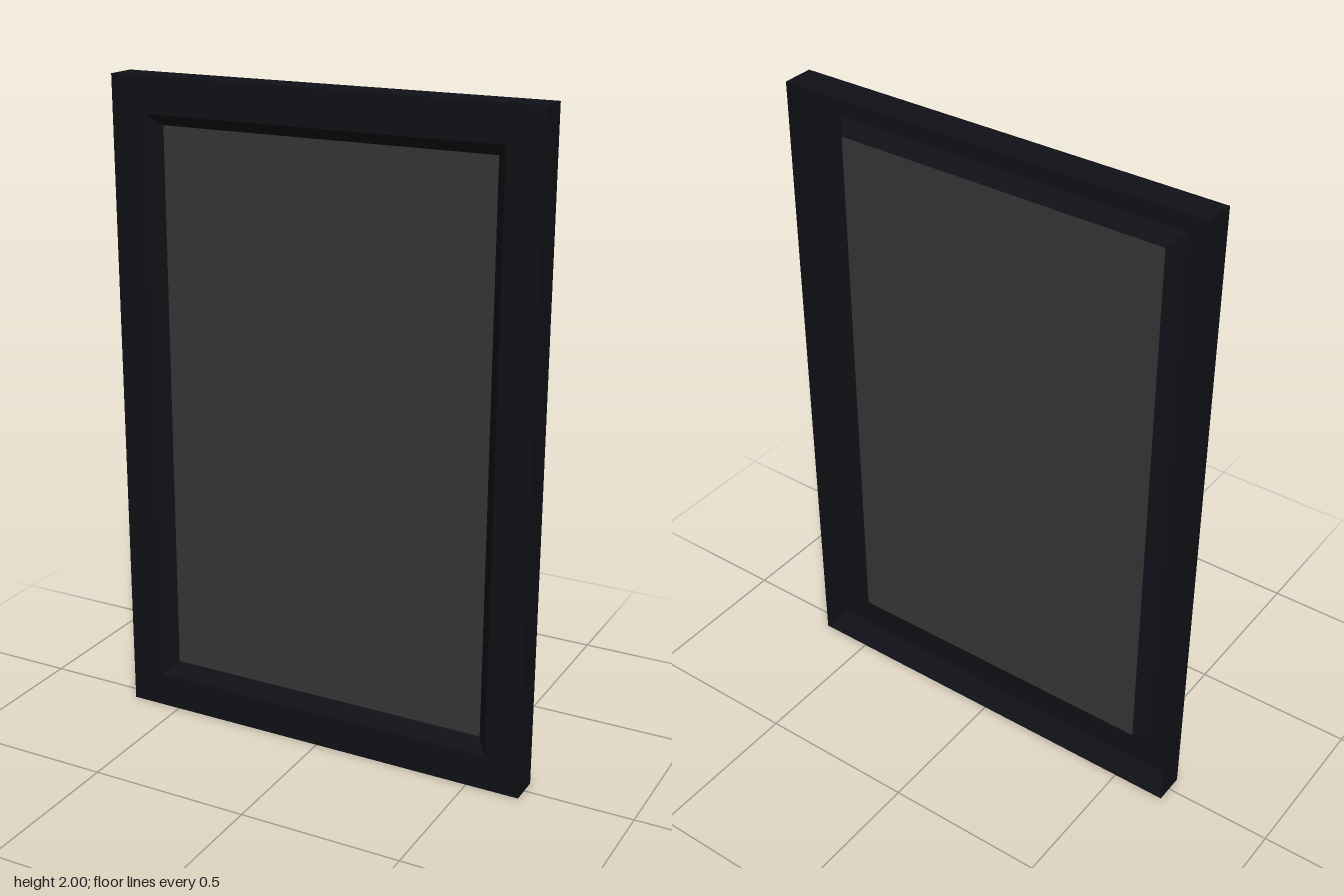
import * as THREE from 'three';

const W = 1.33, H = 2, D = 0.096;
const PANEL_Z = 0.004, LIP = 0.108, INNER = 0.144;

// Corners of the frame outline, moved inwards by inset, at depth z
function ring(inset, z) {
  const x = W / 2 - inset, y0 = inset, y1 = H - inset;
  return [[-x, y0, z], [x, y0, z], [x, y1, z], [-x, y1, z]];
}

// Flat-shaded, mitred band joining two rings
function band(a, b) {
  const pos = [];
  for (let i = 0; i < 4; i++) {
    const j = (i + 1) % 4;
    pos.push(...a[i], ...a[j], ...b[j], ...a[i], ...b[j], ...b[i]);
  }
  const geo = new THREE.BufferGeometry();
  geo.setAttribute('position', new THREE.Float32BufferAttribute(pos, 3));
  geo.computeVertexNormals();
  return geo;
}

export function createModel() {
  const model = new THREE.Group();
  model.name = 'framedPanel';
  const frameMat = new THREE.MeshStandardMaterial({ color: 0x101116, side: THREE.DoubleSide });
  const panelMat = new THREE.MeshStandardMaterial({ color: 0x363636, side: THREE.DoubleSide });

  const add = (name, geo, mat, parent) => {
    const mesh = new THREE.Mesh(geo, mat);
    mesh.name = name;
    parent.add(mesh);
    return mesh;
  };

  // Thin frame shell, open at the back: side walls, front face, bevel
  const frame = new THREE.Group();
  frame.name = 'frame';
  model.add(frame);
  const back = ring(0, -D / 2), front = ring(0, D / 2);
  const lip = ring(LIP, D / 2), inner = ring(INNER, PANEL_Z);
  add('outerWalls', band(back, front), frameMat, frame);
  add('frontFace', band(front, lip), frameMat, frame);
  add('innerBevel', band(lip, inner), frameMat, frame);

  // Flat panel seen from both sides
  const panel = add('panel', new THREE.PlaneGeometry(W - 2 * INNER, H - 2 * INNER), panelMat, model);
  panel.position.set(0, H / 2, PANEL_Z);

  return model;
}
